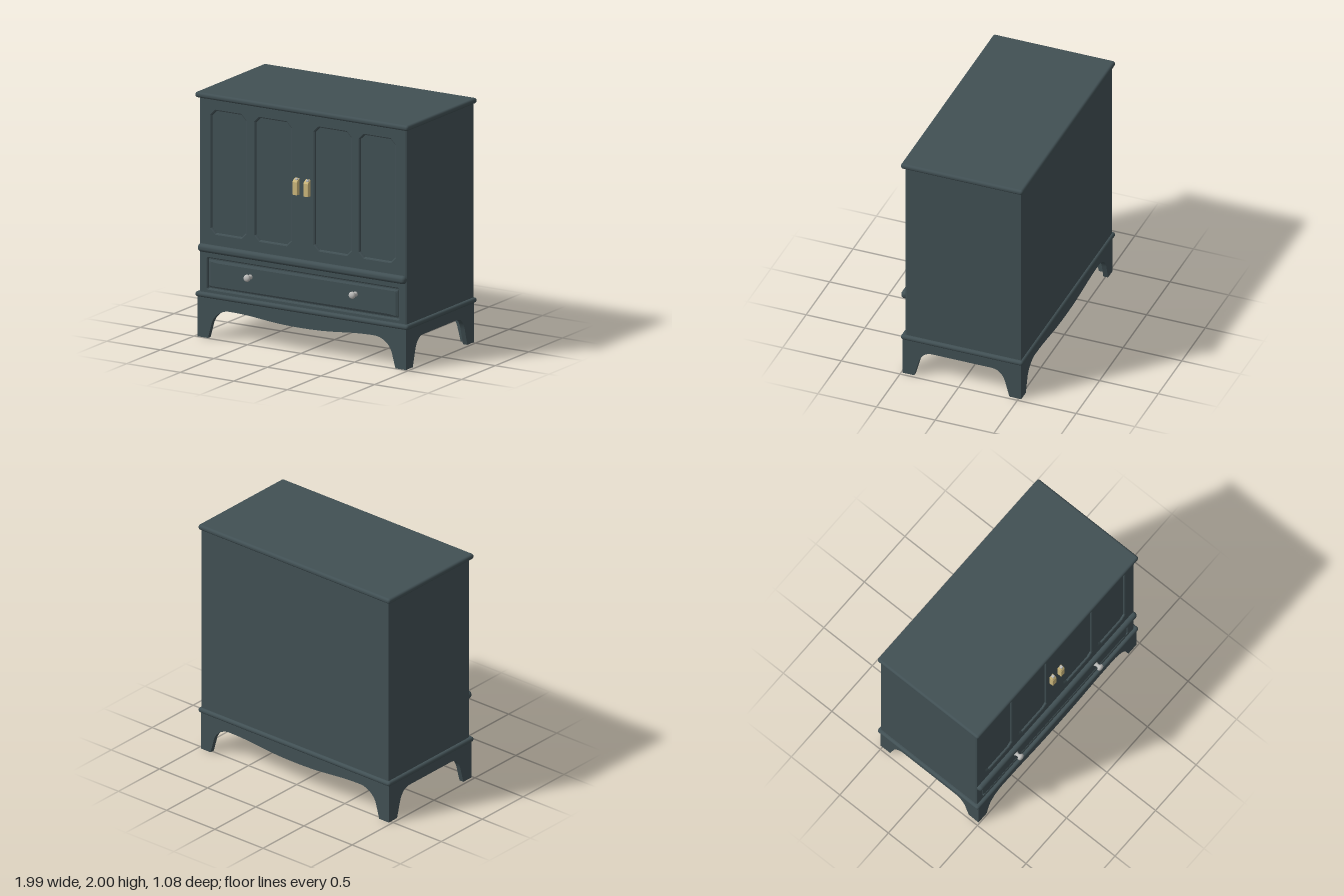
import * as THREE from 'three';
import { RoundedBoxGeometry } from 'three/addons/geometries/RoundedBoxGeometry.js';
import { toCreasedNormals } from 'three/addons/utils/BufferGeometryUtils.js';

const paint = new THREE.MeshStandardMaterial({ color: 0x415054 });
paint.name = 'slate paint';
const brass = new THREE.MeshStandardMaterial({ color: 0xcdb87c });
brass.name = 'pale brass';
const pewter = new THREE.MeshStandardMaterial({ color: 0xbcbcba });
pewter.name = 'pewter';

function add(group, name, geometry, material, x = 0, y = 0, z = 0) {
  const mesh = new THREE.Mesh(geometry, material);
  mesh.name = name;
  mesh.position.set(x, y, z);
  group.add(mesh);
  return mesh;
}

// Closed rectangle outline with cut corners
function outline(PathType, x0, x1, y0, y1, c) {
  const p = new PathType();
  p.moveTo(x0 + c, y0);
  p.lineTo(x1 - c, y0);
  p.lineTo(x1, y0 + c);
  p.lineTo(x1, y1 - c);
  p.lineTo(x1 - c, y1);
  p.lineTo(x0 + c, y1);
  p.lineTo(x0, y1 - c);
  p.lineTo(x0, y0 + c);
  p.closePath();
  return p;
}

// Apron board with two tapered bracket feet; centreY is the arch height in the middle
function apron(half, shoulderX, shoulderY, centreY, depth) {
  const s = new THREE.Shape();
  const foot = half - 0.1;
  s.moveTo(-half, 0);
  s.lineTo(-foot, 0);
  s.lineTo(-foot + 0.03, 0.11);
  s.bezierCurveTo(-foot + 0.05, 0.2, -shoulderX - 0.06, shoulderY, -shoulderX, shoulderY);
  s.bezierCurveTo(-shoulderX * 0.6, shoulderY, -shoulderX * 0.5, centreY, 0, centreY);
  s.bezierCurveTo(shoulderX * 0.5, centreY, shoulderX * 0.6, shoulderY, shoulderX, shoulderY);
  s.bezierCurveTo(shoulderX + 0.06, shoulderY, foot - 0.05, 0.2, foot - 0.03, 0.11);
  s.lineTo(foot, 0);
  s.lineTo(half, 0);
  s.lineTo(half, 0.335);
  s.lineTo(-half, 0.335);
  s.closePath();
  const g = new THREE.ExtrudeGeometry(s, { depth, bevelEnabled: false, curveSegments: 16 });
  return toCreasedNormals(g, 0.6);
}

export function createModel() {
  const cabinet = new THREE.Group();
  cabinet.name = 'cabinet';

  // Carcass, closed underneath above the feet
  add(cabinet, 'carcass', new THREE.BoxGeometry(1.94, 1.66, 0.972), paint, 0, 1.14, -0.034);

  // Face frame with four door recesses and one drawer recess
  const face = outline(THREE.Shape, -0.97, 0.97, 0.34, 1.97, 0);
  for (const [x0, x1] of [[-0.855, -0.54], [-0.445, -0.115], [0.11, 0.445], [0.53, 0.855]]) {
    face.holes.push(outline(THREE.Path, x0, x1, 0.86, 1.86, 0.04));
  }
  face.holes.push(outline(THREE.Path, -0.89, 0.89, 0.4, 0.645, 0.004));
  add(cabinet, 'faceFrame', new THREE.ExtrudeGeometry(face, {
    depth: 0.006, bevelThickness: 0.016, bevelSize: 0.012, bevelOffset: -0.012, bevelSegments: 2,
  }), paint, 0, 0, 0.448);

  // Raised drawer front
  const drawer = outline(THREE.Shape, -0.885, 0.885, 0.41, 0.635, 0.004);
  add(cabinet, 'drawerFront', new THREE.ExtrudeGeometry(drawer, {
    depth: 0.012, bevelThickness: 0.01, bevelSize: 0.02, bevelOffset: -0.02, bevelSegments: 1,
  }), paint, 0, 0, 0.448);

  // Top board, base moulding and the bead between doors and drawer
  const board = (h) => new RoundedBoxGeometry(1.99, h, 1.04, 4, 0.02);
  add(cabinet, 'topBoard', board(0.045), paint, 0, 1.9775, -0.02);
  add(cabinet, 'baseMoulding', board(0.042), paint, 0, 0.346, -0.02);
  add(cabinet, 'waistBead', new RoundedBoxGeometry(1.94, 0.066, 0.06, 5, 0.029), paint, 0, 0.73, 0.48);

  // Footed aprons on all four sides
  const longApron = apron(0.975, 0.68, 0.242, 0.205, 0.04);
  add(cabinet, 'frontApron', longApron, paint, 0, 0, 0.45);
  add(cabinet, 'backApron', longApron, paint, 0, 0, -0.522);
  const sideApron = apron(0.505, 0.25, 0.237, 0.237, 0.04);
  for (const side of [-1, 1]) {
    const mesh = add(cabinet, side < 0 ? 'rightApron' : 'leftApron', sideApron, paint,
      side < 0 ? -0.974 : 0.934, 0, -0.016);
    mesh.rotation.y = Math.PI / 2;
  }

  // Drawer knobs
  const knobProfile = [[0, 0], [0.022, 0], [0.018, 0.01], [0.013, 0.025], [0.016, 0.038],
    [0.028, 0.045], [0.029, 0.056], [0.024, 0.066], [0.012, 0.071], [0, 0.072]]
    .map(([r, h]) => new THREE.Vector2(r, h));
  const knob = new THREE.LatheGeometry(knobProfile, 20);
  for (const x of [-0.492, 0.49]) {
    add(cabinet, 'drawerKnob', knob, pewter, x, 0.55, 0.468).rotation.x = Math.PI / 2;
  }

  // Door pulls: wedge-topped grips with a pale cap
  const grip = new THREE.Shape();
  [[0, 1.285], [0.04, 1.29], [0.04, 1.395], [0.03, 1.41], [0, 1.425]]
    .forEach(([z, y], i) => (i ? grip.lineTo(-z, y) : grip.moveTo(-z, y)));
  const gripGeometry = new THREE.ExtrudeGeometry(grip, {
    depth: 0.032, bevelThickness: 0.006, bevelSize: 0.004, bevelOffset: -0.004, bevelSegments: 2,
  });
  gripGeometry.translate(0, 0, -0.016);
  for (const x of [-0.055, 0.047]) {
    add(cabinet, 'doorPull', gripGeometry, brass, x, 0, 0.468).rotation.y = Math.PI / 2;
    add(cabinet, 'doorPullCap', new RoundedBoxGeometry(0.024, 0.024, 0.026, 2, 0.006), pewter,
      x + 0.006, 1.413, 0.484);
  }

  // Small half-round plate under the floor
  const plate = new THREE.CylinderGeometry(0.085, 0.085, 0.006, 24, 1, false, Math.PI / 2, Math.PI);
  add(cabinet, 'undersidePlate', plate, brass, -0.48, 0.308, 0.45);

  return cabinet;
}
